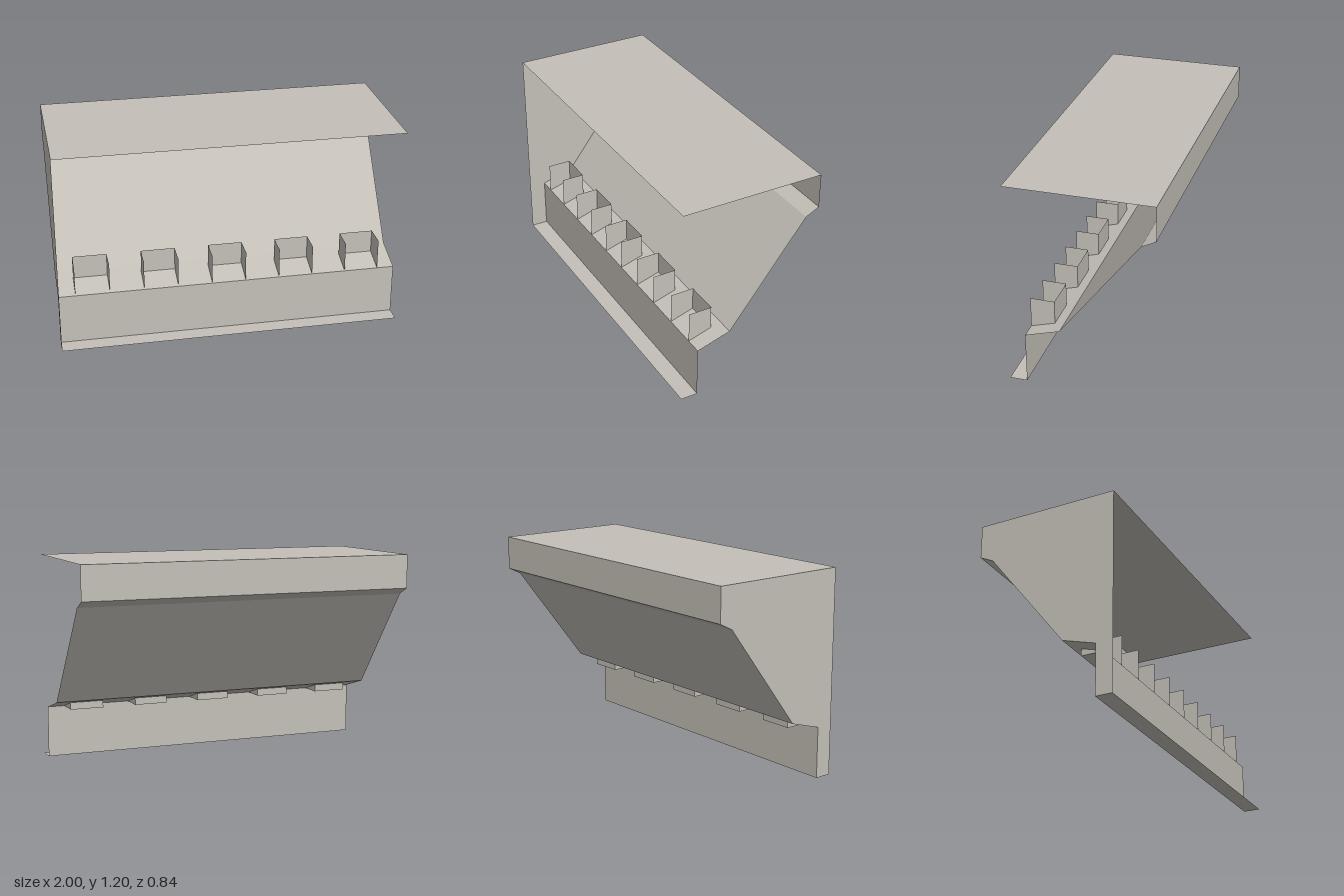
import * as THREE from 'three';

const plaster = new THREE.MeshStandardMaterial({ color: 0xc4c0b8, side: THREE.DoubleSide, flatShading: true });
plaster.name = 'warm grey';

// Sheet swept along x from a polyline of [z, y] points
function foldedSheet(name, points, x0, x1) {
  const v = [];
  for (let i = 0; i < points.length - 1; i++) {
    const [za, ya] = points[i], [zb, yb] = points[i + 1];
    const a = [x0, ya, za], b = [x1, ya, za], c = [x1, yb, zb], d = [x0, yb, zb];
    v.push(...a, ...b, ...c, ...a, ...c, ...d);
  }
  const geo = new THREE.BufferGeometry();
  geo.setAttribute('position', new THREE.Float32BufferAttribute(v, 3));
  geo.computeVertexNormals();
  const mesh = new THREE.Mesh(geo, plaster);
  mesh.name = name;
  return mesh;
}

// Flat panel across x, outlined by [z, y] points
function sidePanel(name, points, x) {
  const shape = new THREE.Shape(points.map(([z, y]) => new THREE.Vector2(z, y)));
  const geo = new THREE.ShapeGeometry(shape).rotateY(-Math.PI / 2).translate(x, 0, 0);
  const mesh = new THREE.Mesh(geo, plaster);
  mesh.name = name;
  return mesh;
}

export function createModel() {
  const model = new THREE.Group();
  model.name = 'openCabinetShell';

  // Shell: roof, back lip, sloped back, ledge, apron and bottom; front and one end are open
  const profile = [
    [0.42, 1.2], [-0.42, 1.2], [-0.42, 1.0], [-0.34, 0.96],
    [0.12, 0.36], [0.32, 0.3], [0.32, 0], [0.42, 0],
  ];
  model.add(foldedSheet('shell', profile, -1, 1));
  model.add(sidePanel('endWall', profile, -1));

  // Row of pockets on the ledge, open at the top and front
  const pocketSide = [[0.18, 0.3], [0.32, 0.3], [0.32, 0.48], [0.18, 0.48]];
  for (let i = 0; i < 5; i++) {
    const x = -0.8 + i * 0.4;
    const pocket = new THREE.Group();
    pocket.name = 'pocket' + (i + 1);
    pocket.add(foldedSheet('pocketBackAndFloor', [[0.18, 0.48], [0.18, 0.3], [0.32, 0.3]], x - 0.1, x + 0.1));
    for (const s of [-1, 1]) pocket.add(sidePanel('pocketSide', pocketSide, x + s * 0.1));
    model.add(pocket);
  }
  return model;
}
